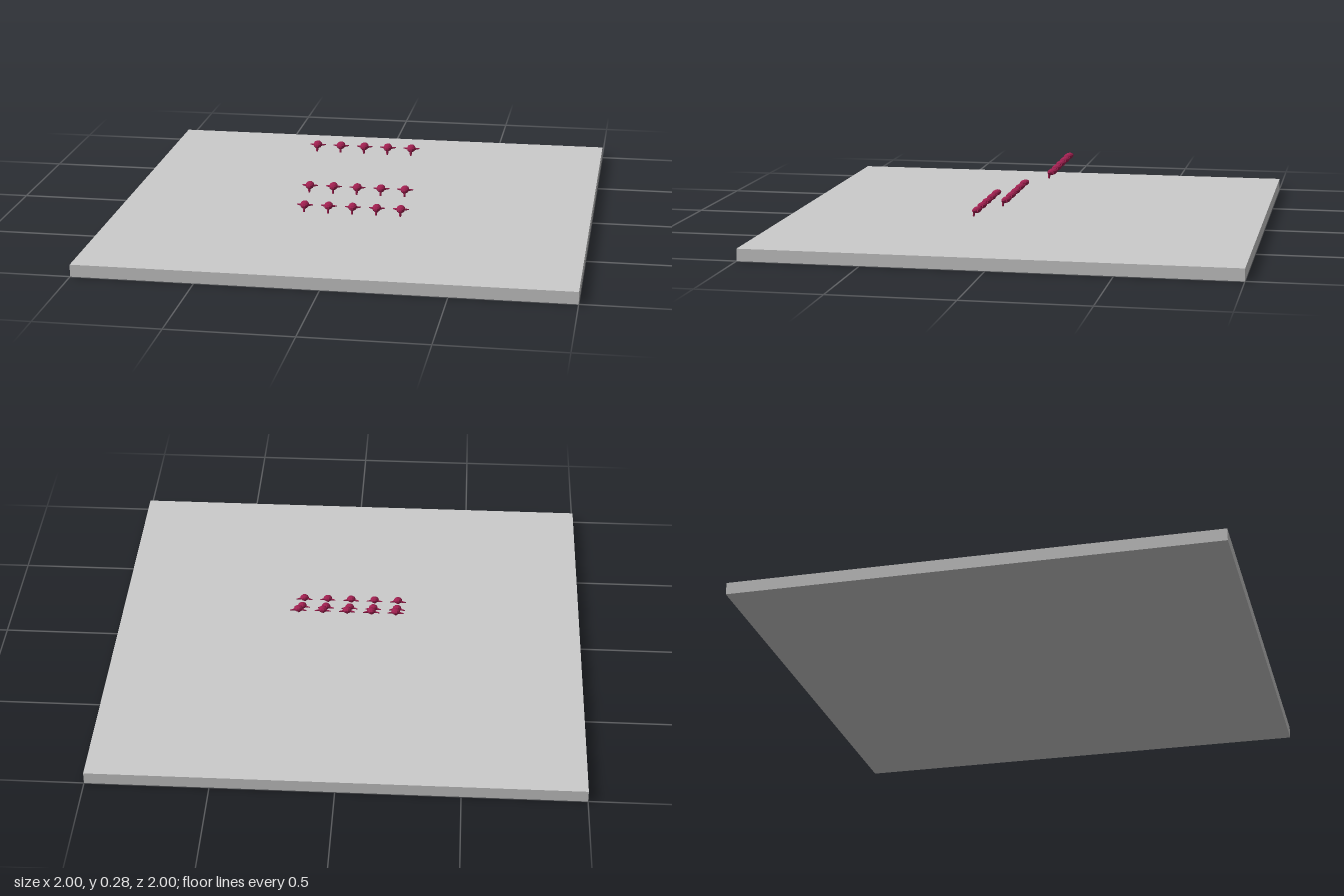
import * as THREE from 'three';

const red = new THREE.MeshStandardMaterial({ color: 0xa02050, flatShading: true });
const grey = new THREE.MeshStandardMaterial({ color: 0xcccccc });

function add(parent, name, geometry, material, x = 0, y = 0, z = 0) {
  const mesh = new THREE.Mesh(geometry, material);
  mesh.name = name;
  mesh.position.set(x, y, z);
  parent.add(mesh);
  return mesh;
}

// Small flyer: faceted body pitched nose-down, swept thin wings, short barrel under the nose
const bodyGeo = new THREE.SphereGeometry(1, 10, 6).scale(0.019, 0.014, 0.023);
const barrelGeo = new THREE.CylinderGeometry(0.006, 0.004, 0.024, 8);
const wingGeo = new THREE.CylinderGeometry(0.002, 0.006, 0.024, 6).scale(1, 1, 0.6);

function createFlyer() {
  const flyer = new THREE.Group();
  flyer.name = 'flyer';
  add(flyer, 'body', bodyGeo, red, 0, 0.003, 0).rotation.x = 0.35;
  add(flyer, 'barrel', barrelGeo, red, 0, -0.014, 0.014).rotation.x = -0.12;
  for (const s of [-1, 1]) {
    const wing = add(flyer, s > 0 ? 'leftWing' : 'rightWing', wingGeo, red, s * 0.023, 0, -0.007);
    wing.rotation.set(-s * 0.0, s * 0.3, -s * Math.PI / 2);
  }
  return flyer;
}

export function createModel() {
  const model = new THREE.Group();
  model.name = 'model';

  // Ground slab
  add(model, 'slab', new THREE.BoxGeometry(2, 0.05, 2), grey, 0, 0.025, 0);

  // Three rows of five, rising towards the back
  const rows = [[0.257, -0.125], [0.131, 0.073], [0.083, 0.199]];
  for (const [y, z] of rows) {
    for (let i = -2; i <= 2; i++) {
      const flyer = createFlyer();
      flyer.position.set(i * 0.103, y, z);
      model.add(flyer);
    }
  }
  return model;
}
